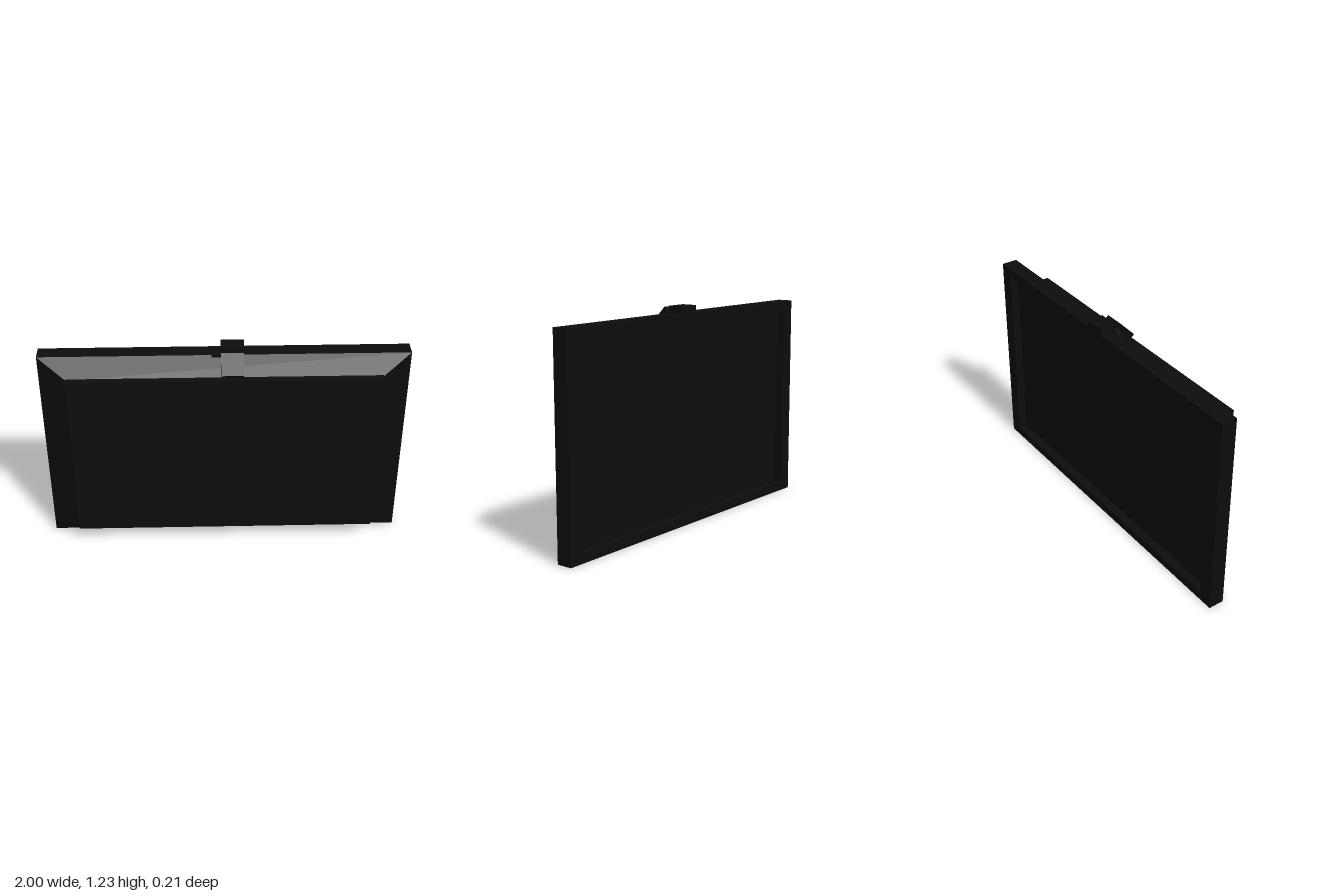
import * as THREE from 'three';

const W = 2, H = 1.19, MID = H / 2;

export function createModel() {
  const group = new THREE.Group();
  const material = new THREE.MeshStandardMaterial({ color: 0x0c0c0c, flatShading: true });

  const add = (name, geometry, x = 0, y = 0, z = 0) => {
    const mesh = new THREE.Mesh(geometry, material);
    mesh.name = name;
    mesh.position.set(x, y, z);
    group.add(mesh);
    return mesh;
  };
  // Box given by its limits on each axis
  const addBox = (name, [x0, x1], [y0, y1], [z0, z1]) =>
    add(name, new THREE.BoxGeometry(x1 - x0, y1 - y0, z1 - z0),
      (x0 + x1) / 2, (y0 + y1) / 2, (z0 + z1) / 2);

  const rectangle = (Path, w, h) => new Path([
    [-w, -h], [w, -h], [w, h], [-w, h],
  ].map(([x, y]) => new THREE.Vector2(x / 2, y / 2)));

  // Raised bezel around the recessed screen
  const bezel = rectangle(THREE.Shape, W, H);
  bezel.holes.push(rectangle(THREE.Path, W - 0.16, H - 0.1));
  add('screenBezel', new THREE.ExtrudeGeometry(bezel, { depth: 0.05, bevelEnabled: false }), 0, MID, -0.105);

  // Recessed screen panel, filling the inside of the cabinet
  addBox('screenPanel', [-1, 1], [0, H], [-0.055, -0.015]);

  // Bevelled housing: a box whose outer face is drawn inwards
  const housing = new THREE.BoxGeometry(W, H, 0.085);
  const p = housing.attributes.position;
  for (let i = 0; i < p.count; i++) {
    if (p.getZ(i) > 0) p.setXY(i, Math.sign(p.getX(i)) * 0.845, Math.sign(p.getY(i)) * 0.5);
  }
  housing.computeVertexNormals();
  add('bevelledHousing', housing, 0, MID, 0.0275);

  // Flat cover plate
  addBox('coverPlate', [-0.845, 0.845], [0.095, 1.1], [0.06, 0.105]);

  // Small unit on the top edge, with its clip lying on the slope
  addBox('topUnit', [-0.02, 0.105], [1.17, 1.23], [-0.105, -0.015]);
  const clip = add('topClip', new THREE.BoxGeometry(0.12, 0.05, 0.124), 0.04, 1.16, 0.044);
  clip.rotation.x = Math.atan2(0.09, 0.085);

  // Little wedge beside the unit
  const wedge = new THREE.Shape([[-0.07, 1.18], [-0.01, 1.18], [-0.01, 1.205], [-0.07, 1.19]]
    .map(([x, y]) => new THREE.Vector2(x, y)));
  add('topWedge', new THREE.ExtrudeGeometry(wedge, { depth: 0.03, bevelEnabled: false }), 0, 0, -0.035);

  return group;
}
